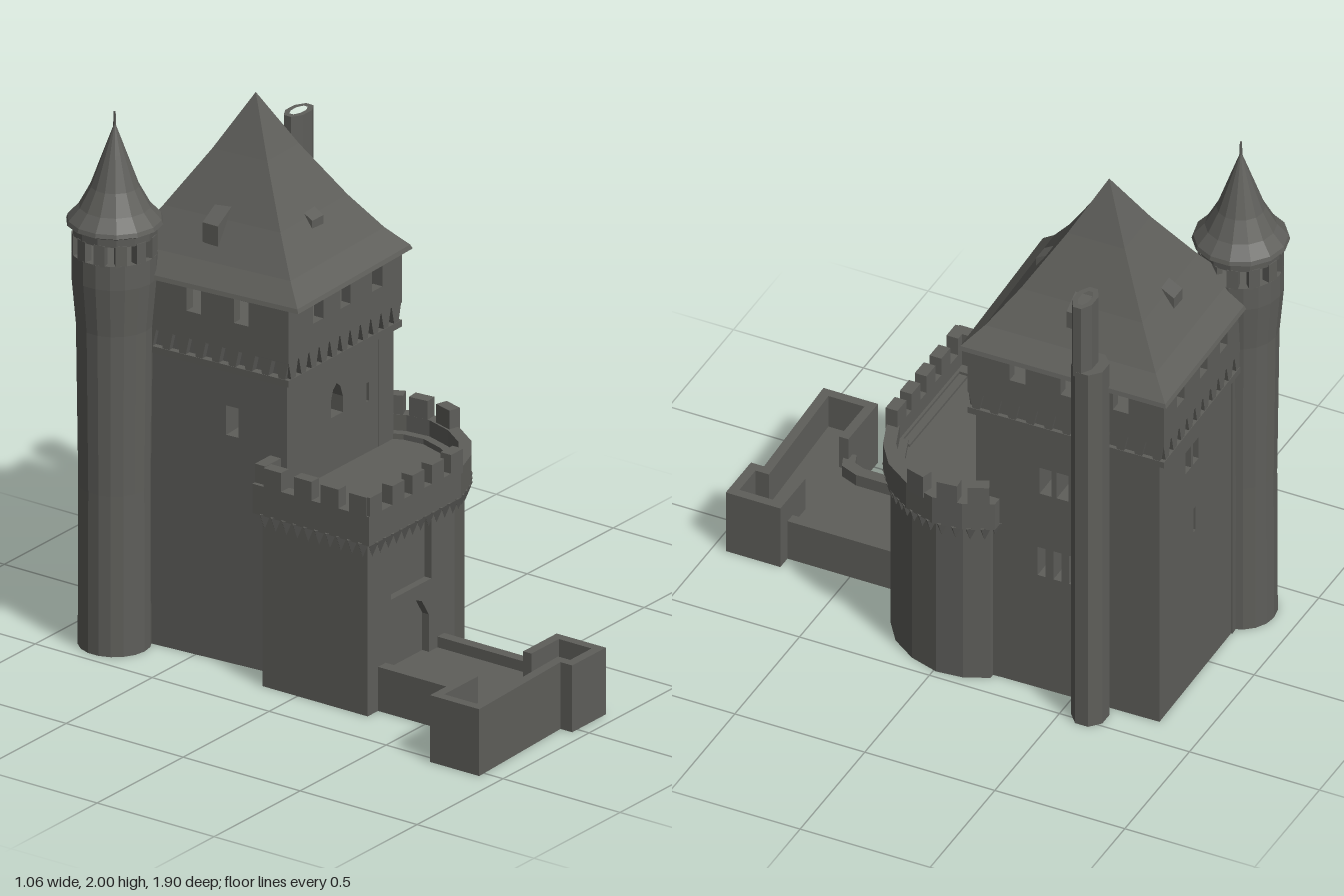
import * as THREE from 'three';

const stone = new THREE.MeshStandardMaterial({ color: 0x5e5e5a, flatShading: true });
stone.name = 'grey stone';

export function createModel() {
  const model = new THREE.Group();
  const add = (name, geo, parent = model) => {
    const m = new THREE.Mesh(geo, stone);
    m.name = name;
    parent.add(m);
    return m;
  };
  const box = (name, x0, x1, y0, y1, z0, z1) =>
    add(name, new THREE.BoxGeometry(x1 - x0, y1 - y0, z1 - z0))
      .position.set((x0 + x1) / 2, (y0 + y1) / 2, (z0 + z1) / 2);

  // Upright prism over a ground plan of [x, z] points
  const prism = (name, plan, y0, y1, hole) => {
    const v = (p) => p.map(([x, z]) => new THREE.Vector2(x, -z));
    const shape = new THREE.Shape(v(plan));
    if (hole) shape.holes.push(new THREE.Path(v(hole)));
    const geo = new THREE.ExtrudeGeometry(shape, { depth: y1 - y0, bevelEnabled: false });
    return add(name, geo.rotateX(-Math.PI / 2).translate(0, y0, 0));
  };

  // Path shifted sideways with mitred corners (positive = outwards)
  const offset = (pts, d) => {
    const normal = (a, b) => {
      const l = Math.hypot(b[0] - a[0], b[1] - a[1]);
      return [-(b[1] - a[1]) / l, (b[0] - a[0]) / l];
    };
    return pts.map((p, i) => {
      const n1 = normal(pts[Math.max(i - 1, 0)], pts[Math.max(i, 1)]);
      const last = pts.length - 1;
      const n2 = normal(pts[Math.min(i, last - 1)], pts[Math.min(i + 1, last)]);
      const k = d / (1 + n1[0] * n2[0] + n1[1] * n2[1]);
      return [p[0] + (n1[0] + n2[0]) * k, p[1] + (n1[1] + n2[1]) * k];
    });
  };
  const strip = (name, pts, dIn, dOut, y0, y1) =>
    prism(name, [...offset(pts, dOut), ...offset(pts, dIn).reverse()], y0, y1);

  // Wall from a to b with openings [centre along wall, bottom, width, height, peak]
  const panel = (name, a, b, y0, y1, thick, holes = []) => {
    const len = Math.hypot(b[0] - a[0], b[1] - a[1]);
    const shape = new THREE.Shape();
    shape.moveTo(0, y0).lineTo(len, y0).lineTo(len, y1).lineTo(0, y1);
    for (const [u, y, w, h, peak = 0] of holes) {
      const p = new THREE.Path().moveTo(u - w / 2, y).lineTo(u + w / 2, y).lineTo(u + w / 2, y + h - peak);
      if (peak) p.lineTo(u + w * 0.3, y + h - peak * 0.3).lineTo(u, y + h).lineTo(u - w * 0.3, y + h - peak * 0.3);
      p.lineTo(u - w / 2, y + h - peak);
      shape.holes.push(p);
    }
    const geo = new THREE.ExtrudeGeometry(shape, { depth: thick, bevelEnabled: false });
    const m = add(name, geo.translate(0, 0, -thick));
    m.position.set(a[0], 0, a[1]);
    m.rotation.y = Math.atan2(a[1] - b[1], b[0] - a[0]);
    return m;
  };

  // Keep walls: front, right, back, left
  const keep = [[-0.22, -0.13], [0.4, -0.13], [0.39, -0.83], [-0.27, -0.82]];
  const keepWindows = [
    [[0.29, 0.88, 0.07, 0.12, 0.06], [0.47, 0.87, 0.015, 0.07]],
    [[0.265, 0.83, 0.045, 0.11], [0.33, 0.83, 0.045, 0.11],
      [0.25, 0.48, 0.03, 0.12], [0.31, 0.48, 0.03, 0.12], [0.37, 0.48, 0.03, 0.12]],
    [[0.23, 0.92, 0.045, 0.09], [0.29, 0.92, 0.045, 0.09], [0.28, 0.63, 0.018, 0.1]],
    [[0.47, 0.85, 0.05, 0.11]],
  ];
  const gallery = [[-0.25, -0.1], [0.415, -0.105], [0.405, -0.855], [-0.29, -0.84]];
  const xs = [-0.077, 0.084, 0.27], zs = [-0.295, -0.49, -0.69];
  const galleryAt = [xs.map((x) => x + 0.25), zs.map((z) => -0.105 - z),
    xs.map((x) => 0.405 - x), zs.map((z) => z + 0.84)];
  for (let i = 0; i < 4; i++) {
    const j = (i + 1) % 4;
    panel('keepWall', keep[i], keep[j], 0, 1.2, 0.09, keepWindows[i]);
    panel('galleryWall', gallery[i], gallery[j], 1.19, 1.39, 0.04,
      galleryAt[i].map((u) => [u, 1.29, 0.06, 0.09]));
    // Ledge and corbels under the gallery
    panel('galleryLedge', gallery[i], gallery[j], 1.1, 1.125, 0.04);
    const len = Math.hypot(gallery[j][0] - gallery[i][0], gallery[j][1] - gallery[i][1]);
    const row = new THREE.Group();
    row.name = 'galleryCorbels';
    row.position.set(gallery[i][0], 0, gallery[i][1]);
    row.rotation.y = Math.atan2(gallery[i][1] - gallery[j][1], gallery[j][0] - gallery[i][0]);
    model.add(row);
    const count = 10;
    for (let k = 0; k <= count; k++) {
      const tooth = new THREE.Shape();
      tooth.moveTo(-0.03, 1.2).lineTo(-0.012, 1.12).lineTo(0.012, 1.12).lineTo(0.03, 1.2);
      const geo = new THREE.ExtrudeGeometry(tooth, { depth: 0.03, bevelEnabled: false });
      add('corbel', geo, row).position.set(0.03 + ((len - 0.06) * k) / count, 0, -0.032);
    }
  }
  prism('galleryFloor', offset([...gallery, gallery[0]], -0.01).slice(0, 4), 1.185, 1.21);

  // Flared pyramid roof from shrinking rings
  const eaves = [[-0.25, -0.06], [0.45, -0.085], [0.44, -0.88], [-0.32, -0.865]];
  const apex = [0.075, -0.48];
  const rings = [[1.385, 1], [1.4, 0.985], [1.47, 0.82], [1.6, 0.585], [1.8, 0.275], [2, 0]].map(([y, s]) =>
    eaves.map(([x, z]) => [apex[0] + (x - apex[0]) * s, y, apex[1] + (z - apex[1]) * s]));
  const tri = [];
  for (let r = 0; r < rings.length - 1; r++) {
    for (let i = 0; i < 4; i++) {
      const j = (i + 1) % 4, lo = rings[r], hi = rings[r + 1];
      tri.push(...lo[i], ...lo[j], ...hi[j]);
      if (r < rings.length - 2) tri.push(...lo[i], ...hi[j], ...hi[i]);
    }
  }
  const b = rings[0];
  tri.push(...b[0], ...b[2], ...b[1], ...b[0], ...b[3], ...b[2]);
  const roof = new THREE.BufferGeometry();
  roof.setAttribute('position', new THREE.Float32BufferAttribute(tri, 3));
  roof.computeVertexNormals();
  add('keepRoof', roof);

  // One dormer on each roof slope
  for (let i = 0; i < 4; i++) {
    const s = new THREE.Shape();
    s.moveTo(0.15, 1.52).lineTo(0.265, 1.52).lineTo(0.265, 1.595).lineTo(0.18, 1.645).lineTo(0.15, 1.645);
    const geo = new THREE.ExtrudeGeometry(s, { depth: 0.065, bevelEnabled: false }).translate(0, 0, -0.0325);
    const d = add('dormer', geo);
    d.position.set(apex[0], 0, apex[1]);
    d.rotation.y = (i * Math.PI) / 2;
  }

  // Round stair turret with open lantern and cone roof
  const turret = new THREE.Group();
  turret.name = 'turret';
  turret.position.set(-0.33, 0, -0.785);
  model.add(turret);
  const lathe = (name, pts, n) =>
    add(name, new THREE.LatheGeometry(pts.map(([r, y]) => new THREE.Vector2(r, y)), n), turret);
  lathe('turretWall', [[0, 0], [0.128, 0], [0.126, 0.6], [0.134, 1.2], [0.15, 1.38], [0.15, 1.47], [0, 1.47]], 18);
  for (let k = 0; k < 12; k++) {
    const a = ((k + 0.5) / 12) * Math.PI * 2;
    const p = add('lanternPillar', new THREE.BoxGeometry(0.04, 0.08, 0.03), turret);
    p.position.set(Math.sin(a) * 0.133, 1.505, Math.cos(a) * 0.133);
    p.rotation.y = a;
  }
  lathe('turretRoof', [[0, 1.54], [0.148, 1.54], [0.15, 1.57], [0.17, 1.58], [0.165, 1.595], [0.125, 1.64],
    [0.085, 1.715], [0.04, 1.84], [0, 1.95]], 14);
  add('finial', new THREE.CylinderGeometry(0.004, 0.006, 0.07, 5), turret).position.y = 1.955;

  // Chimney stack, thinner at the top with a sunken flue
  const oval = (cx, cz, rx, rz) => Array.from({ length: 8 }, (_, k) => {
    const a = ((k + 0.5) / 8) * Math.PI * 2;
    return [cx + Math.cos(a) * rx * 1.08, cz + Math.sin(a) * rz * 1.08];
  });
  prism('chimneyBase', oval(0.458, -0.598, 0.068, 0.06), 0, 1.5);
  prism('chimneyTop', oval(0.46, -0.58, 0.065, 0.038), 1.48, 1.775, oval(0.46, -0.58, 0.042, 0.02));

  // Gatehouse: square on its right, rounded on its left
  const gate = [[-0.2, -0.15], [-0.335, -0.15], [-0.335, 0.3], [0.17, 0.3], [0.28, 0.26], [0.37, 0.195],
    [0.435, 0.1], [0.47, -0.01], [0.46, -0.11], [0.42, -0.195], [0.37, -0.195]];
  strip('gatehouseSideWall', gate.slice(0, 3), -0.06, 0, 0, 0.7);
  strip('gatehouseRoundWall', gate.slice(3), -0.05, 0, 0, 0.7);
  panel('gatehouseFront', gate[2], gate[3], 0, 0.7, 0.03,
    [[0.252, 0.39, 0.235, 0.25], [0.255, 0.1, 0.2, 0.25, 0.09]]);
  box('gateBacking', -0.3, 0.17, 0, 0.69, 0.24, 0.272);
  prism('gatehouseTerrace', offset(gate, -0.01), 0.655, 0.68, [[0.25, 0.19], [0.41, 0.165], [0.36, 0.19], [0.27, 0.24]]);
  strip('gatehouseParapet', gate, -0.02, 0.025, 0.65, 0.76);

  // Pointed corbels under the parapet
  const rim = offset(gate, 0.008);
  for (let i = 0; i < rim.length - 1; i++) {
    const [p, q] = [rim[i], rim[i + 1]];
    const n = Math.max(1, Math.round(Math.hypot(q[0] - p[0], q[1] - p[1]) / 0.045));
    for (let k = 0; k < n; k++) {
      const t = (k + 0.5) / n;
      const c = add('parapetCorbel', new THREE.ConeGeometry(0.026, 0.06, 4).rotateX(Math.PI));
      c.position.set(p[0] + (q[0] - p[0]) * t, 0.625, p[1] + (q[1] - p[1]) * t);
    }
  }

  // Merlons [x, z, turn, width]
  const merlons = [-0.32, -0.19, -0.075, 0.04, 0.15].map((x) => [x, 0.3025, 0, 0.07]);
  for (const z of [0.275, 0.155, 0.04, -0.09]) merlons.push([-0.3375, z, Math.PI / 2, 0.075]);
  merlons.push([-0.3, -0.1525, 0, 0.09], [0.458, 0.06, 1.28, 0.075], [0.468, -0.06, 1.67, 0.075], [0.442, -0.16, 2.0, 0.075]);
  for (const [x, z, turn, w] of merlons) {
    const m = add('merlon', new THREE.BoxGeometry(w, 0.09, 0.045));
    m.position.set(x, 0.785, z);
    m.rotation.y = turn;
  }

  // Bridge and forecourt with parapet walls
  box('bridgeDeck', -0.26, 0.1, 0, 0.12, 0.27, 0.78);
  const court = [[-0.3, 0.71], [-0.53, 0.71], [-0.53, 0.92], [-0.03, 0.9], [-0.03, 0.95], [0.165, 0.95],
    [0.165, 0.74], [-0.03, 0.74]];
  prism('forecourtFloor', court, 0, 0.12);
  strip('forecourtWall', court, -0.035, 0, 0, 0.25);
  strip('bridgeWall', [[-0.26, 0.28], [-0.26, 0.64], [-0.28, 0.69], [-0.33, 0.71]].map(([x, z]) => [x, z]), -0.03, 0.015, 0, 0.165);
  strip('bridgeWall', [[0.1, 0.76], [0.1, 0.28]], -0.03, 0.01, 0, 0.16);
  return model;
}
